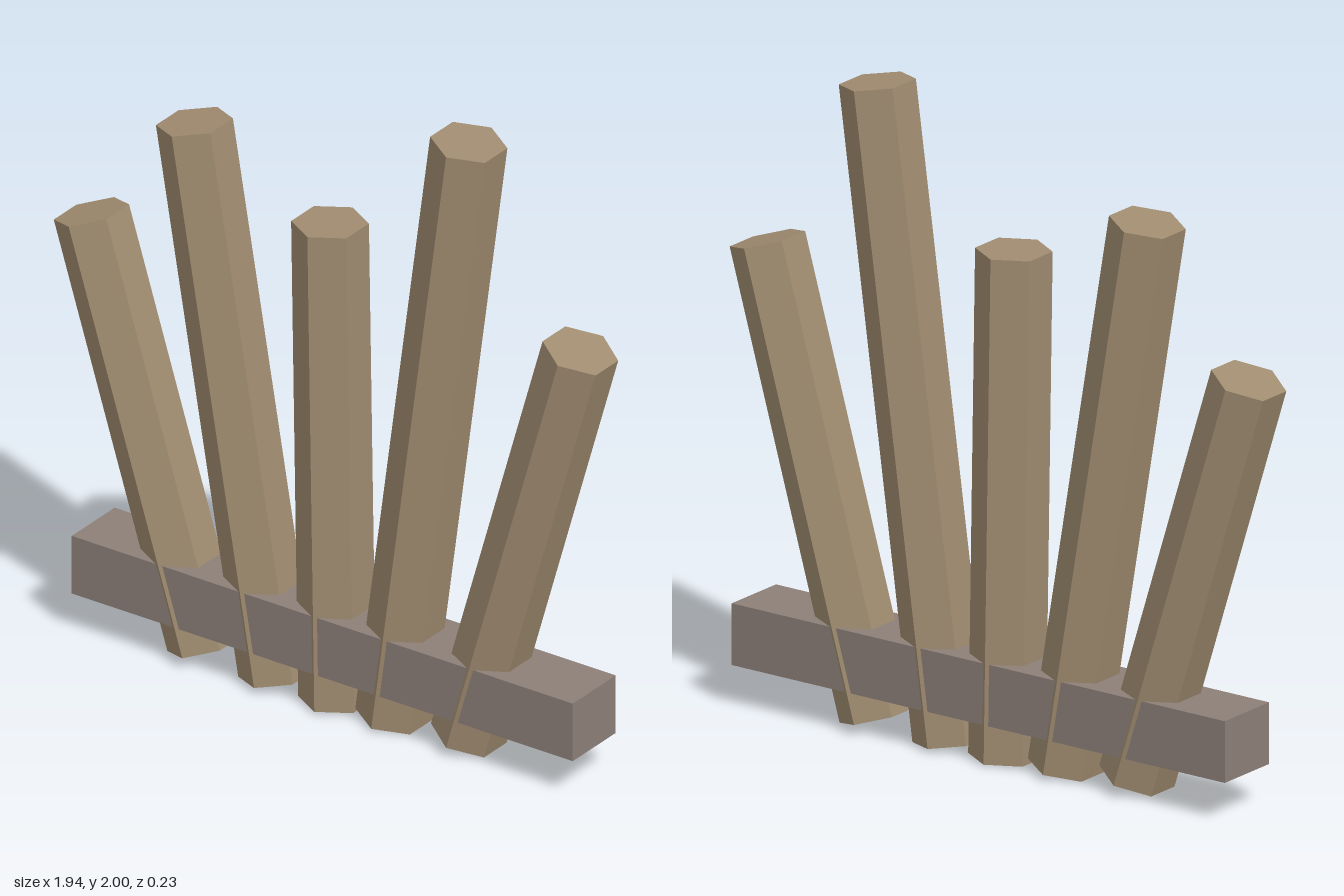
import * as THREE from 'three';

export function createModel() {
  const model = new THREE.Group();
  model.name = 'stakeFence';

  const wood = new THREE.MeshStandardMaterial({ color: 0xa08c70, flatShading: true });
  wood.name = 'wood';
  const greyWood = new THREE.MeshStandardMaterial({ color: 0x8c7f78, flatShading: true });
  greyWood.name = 'greyWood';

  // Hexagonal stakes fanning out: bottom centre x, y, then top centre x, y
  const stakes = [
    [-0.469, 0.041, -0.876, 1.34],
    [-0.212, 0.022, -0.507, 1.752],
    [0.004, 0.01, -0.021, 1.57],
    [0.208, 0.017, 0.476, 1.987],
    [0.476, 0.037, 0.876, 1.422],
  ];
  const up = new THREE.Vector3(0, 1, 0);
  stakes.forEach(([x0, y0, x1, y1], i) => {
    const base = new THREE.Vector3(x0, y0, 0);
    const axis = new THREE.Vector3(x1, y1, 0).sub(base);
    const length = axis.length();
    const stake = new THREE.Mesh(new THREE.CylinderGeometry(0.114, 0.114, length, 6), wood);
    stake.name = `stake${i + 1}`;
    stake.position.copy(base).addScaledVector(axis, 0.5);
    stake.quaternion.setFromUnitVectors(up, axis.normalize());
    model.add(stake);
  });

  // Crossbar; the stakes' ridges stand slightly proud of it
  const crossbar = new THREE.Mesh(new THREE.BoxGeometry(1.795, 0.19, 0.216), greyWood);
  crossbar.name = 'crossbar';
  crossbar.position.set(0.028, 0.224, 0);
  model.add(crossbar);

  return model;
}
